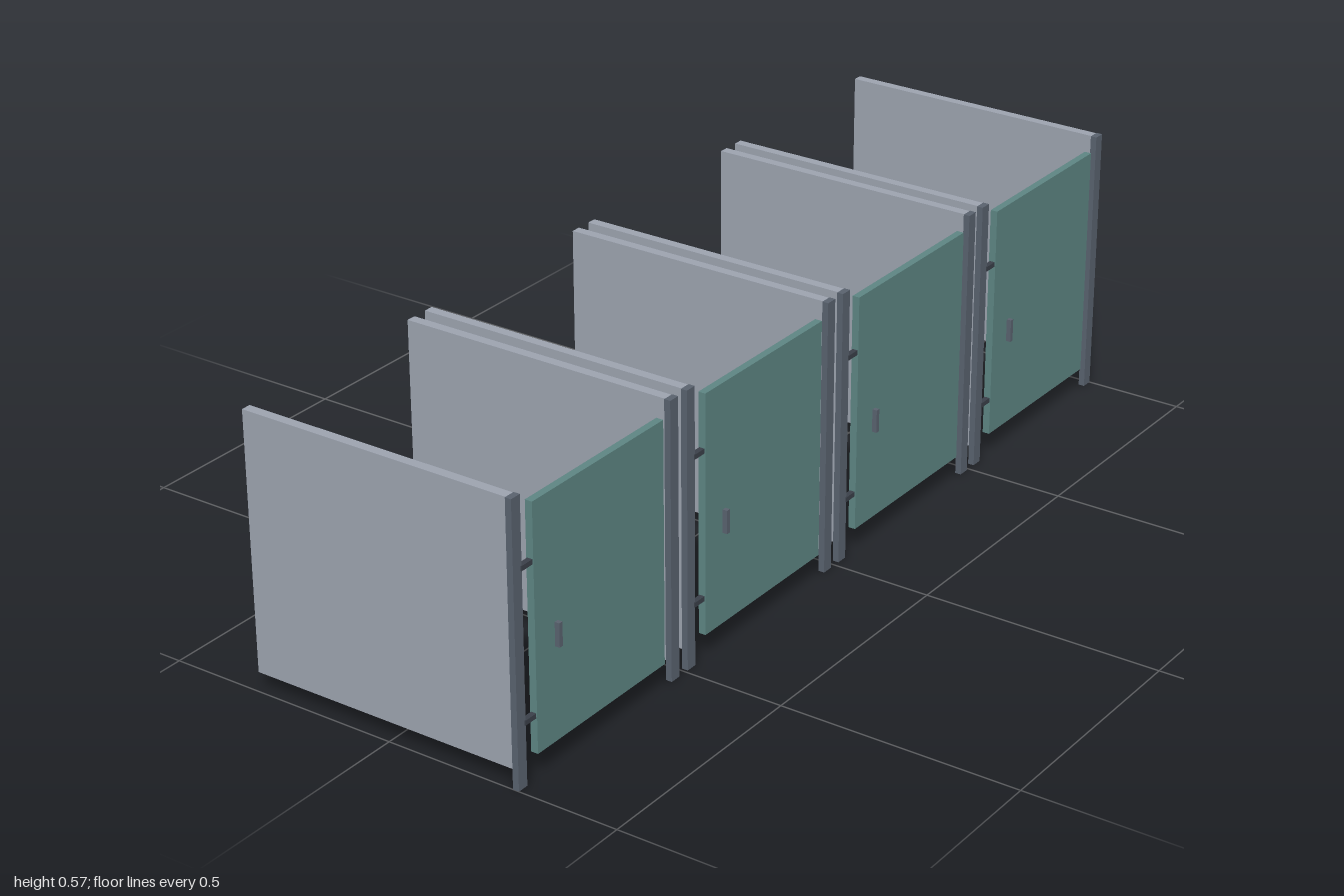
import * as THREE from 'three';

const material = (name, color) => {
  const m = new THREE.MeshStandardMaterial({ color });
  m.name = name;
  return m;
};

// Box given by its [min, max] extent on each axis
function box(name, [x0, x1], [y0, y1], [z0, z1], mat) {
  const mesh = new THREE.Mesh(new THREE.BoxGeometry(x1 - x0, y1 - y0, z1 - z0), mat);
  mesh.position.set((x0 + x1) / 2, (y0 + y1) / 2, (z0 + z1) / 2);
  mesh.name = name;
  return mesh;
}

export function createModel() {
  const panelGrey = material('panel grey', 0x9ca3af);
  const postGrey = material('post grey', 0x59626e);
  const doorTeal = material('door teal', 0x5d8583);
  const hingeDark = material('hinge dark', 0x3a4049);

  const model = new THREE.Group();
  model.name = 'stallRow';

  const half = 0.24;           // half the width of a stall
  const post = 0.024;          // post thickness
  const pitch = (2 - 2 * half) / 3;

  for (let i = 0; i < 4; i++) {
    const stall = new THREE.Group();
    stall.name = `stall${i + 1}`;
    stall.position.z = 1 - half - i * pitch;

    // Side partitions, each ending in a post at the door side
    for (const s of [-1, 1]) {
      const mid = s * (half - post / 2);
      stall.add(
        box('sidePanel', [-0.305, 0.277], [0.04, 0.57], [mid - 0.01, mid + 0.01], panelGrey),
        box('post', [0.277, 0.29], [0, 0.57], [mid - post / 2, mid + post / 2], postGrey)
      );
    }

    // Door with handle
    stall.add(
      box('door', [0.279, 0.294], [0.052, 0.545], [-0.189, 0.189], doorTeal),
      box('handle', [0.294, 0.304], [0.241, 0.289], [0.125, 0.134], postGrey)
    );

    // Hinges bridging the gap between post and door
    for (const y of [0.128, 0.43]) {
      stall.add(box('hinge', [0.281, 0.292], [y - 0.005, y + 0.005], [0.187, 0.219], hingeDark));
    }
    model.add(stall);
  }
  return model;
}
